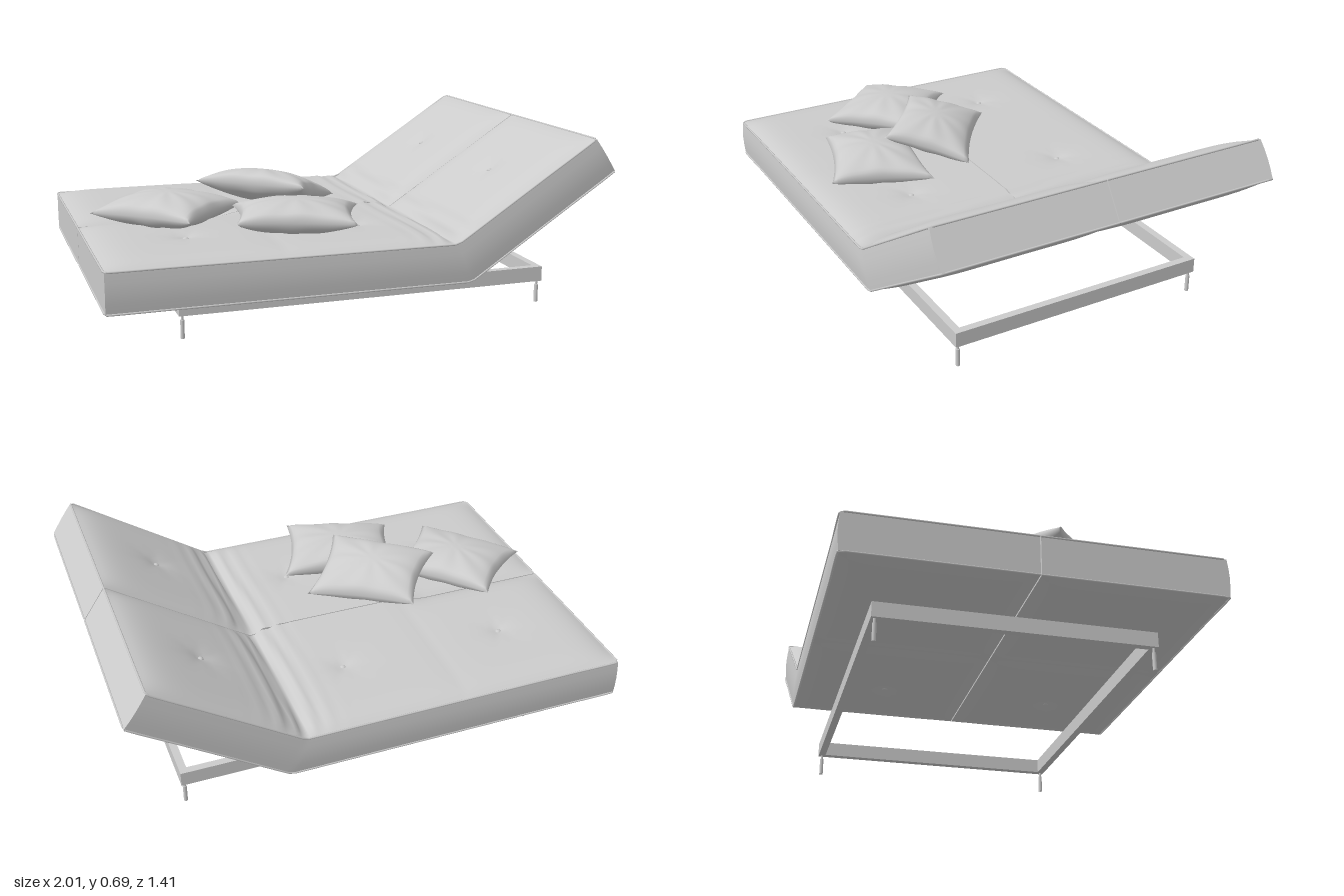
import * as THREE from 'three';
import { mergeGeometries, mergeVertices } from 'three/addons/utils/BufferGeometryUtils.js';

const { lerp, smoothstep, clamp } = THREE.MathUtils;
const material = new THREE.MeshStandardMaterial({ color: 0xcccccc, roughness: 0.85 });

const BEND = 0.7;                       // share of the length taken by the flat seat
const BUTTONS = [0.19, 0.553, 0.858];   // button positions along the length
const TOP = [[-1, 0.325], [0.335, 0.318], [0.91, 0.69]];
const BOTTOM = [[-1, 0.172], [0.395, 0.166], [0.998, 0.56]];

function mesh(name, geometry, parent, x = 0, y = 0, z = 0) {
  const m = new THREE.Mesh(geometry, material);
  m.name = name;
  m.position.set(x, y, z);
  parent.add(m);
  return m;
}

// Point on a three-point polyline, bent at BEND
function along(line, u) {
  const i = u < BEND ? 0 : 1;
  const t = i ? (u - BEND) / (1 - BEND) : u / BEND;
  return [lerp(line[i][0], line[i + 1][0], t), lerp(line[i][1], line[i + 1][1], t)];
}

// Padding height at (u, v); v runs from the middle seam (0) to the outer edge (1)
function padding(u, v, isTop, side) {
  const panel = Math.min(2, Math.floor(u / 0.35));
  const t = panel === 2 ? (u - BEND) / (1 - BEND) : (u - panel * 0.35) / 0.35;
  let across = 1 - Math.abs(2 * v - 1) ** 8;
  let lengthwise = 1 - Math.abs(2 * t - 1) ** 6;
  if (isTop) {
    // the upper cover runs unbroken over the middle of the seat
    const joined = smoothstep(u, 0.28, 0.36) * (1 - smoothstep(u, 0.66, 0.71));
    if (v < 0.5) across = lerp(across, 1, joined);
    if (u > 0.175 && u < 0.525) lengthwise = lerp(lengthwise, 1, 0.85);
  }
  let h = (isTop ? 0.026 : 0.016) * across * lengthwise;
  // button dimples with faint radial creases
  for (const b of BUTTONS) {
    const du = (u - b) * 1.95, dv = (v - 0.5) * 0.7, r = Math.hypot(du, dv);
    const crease = 1 + 0.15 * Math.cos(7 * Math.atan2(dv, du) + side) * Math.min(1, r * 20);
    h -= 0.018 * Math.exp(-r / 0.045) * crease;
  }
  // folds gathered at the bend
  if (isTop) {
    const d = u - BEND;
    h += 0.009 * across * Math.exp(-((d / 0.055) ** 2)) * Math.sin(d * 170 + Math.sin(v * 5 + side) * 0.9);
  }
  return h;
}

// Mattress surface: u length, w from -0.5 (bottom) to 0.5 (top), v width, side +1 or -1
function mattressPoint(u, w, v, side) {
  const a = along(BOTTOM, u), b = along(TOP, u);
  const k = smoothstep(u, BEND - 0.02, BEND + 0.02);
  const h = padding(u, v, w > 0, side) * 2 * w;
  const wall = 0.006 * Math.cos(w * Math.PI) * clamp((v - 0.8) * 5, 0, 1);
  return new THREE.Vector3(
    lerp(a[0], b[0], w + 0.5) - 0.54 * k * h,
    lerp(a[1], b[1], w + 0.5) + lerp(1, 0.84, k) * h,
    side * (0.002 + v * 0.698 + wall));
}

function mattressHalf(side) {
  const half = new THREE.Group();
  half.name = side > 0 ? 'frontMattress' : 'backMattress';
  const g = new THREE.BoxGeometry(1, 1, 1, 100, 4, 40);
  const p = g.attributes.position;
  for (let i = 0; i < p.count; i++) {
    const q = mattressPoint(p.getX(i) + 0.5, p.getY(i), p.getZ(i) * side + 0.5, side);
    p.setXYZ(i, q.x, q.y, q.z);
  }
  g.computeVertexNormals();
  mesh('mattressCover', g, half);

  for (const w of [-0.5, 0.5]) {
    // buttons
    for (const u of BUTTONS) {
      const q = mattressPoint(u, w, 0.5, side);
      mesh('button', new THREE.SphereGeometry(0.013, 14, 10), half, q.x, q.y, q.z).scale.y = 0.7;
    }
    // piping around the ends and the outer edge
    const pts = [mattressPoint(0, w, 0, side)];
    for (let i = 0; i <= 10; i++) pts.push(mattressPoint(i / 10, w, 1, side));
    pts.push(mattressPoint(1, w, 0, side));
    const curve = new THREE.CatmullRomCurve3(pts, false, 'catmullrom', 0.02);
    mesh('piping', new THREE.TubeGeometry(curve, 120, 0.004, 6), half);
  }
  return half;
}

// Pillow stretched between four corners, listed clockwise from above
function pillow(name, corners, thickness, parent) {
  const N = 32;
  const sheets = [1, -1].map((s) => {
    const g = new THREE.PlaneGeometry(2, 2, N, N).rotateX(-s * Math.PI / 2);
    const p = g.attributes.position;
    for (let i = 0; i < p.count; i++) {
      const x = p.getX(i), z = p.getZ(i);
      const ex = Math.max(0, 1 - x * x), ez = Math.max(0, 1 - z * z);
      // sides pull inward between the corners
      const u = (x * (1 - 0.11 * ez) + 1) / 2, v = (z * (1 - 0.11 * ex) + 1) / 2;
      const weights = [(1 - u) * (1 - v), u * (1 - v), u * v, (1 - u) * v];
      const q = [0, 1, 2].map((k) => weights.reduce((sum, f, c) => sum + f * corners[c][k], 0));
      const folds = 1 + 0.05 * Math.sin(9 * Math.atan2(z, x) + s) * Math.hypot(x, z);
      p.setXYZ(i, q[0], q[1] + s * thickness * Math.sqrt(ex * ez) ** 0.9 * folds, q[2]);
    }
    g.deleteAttribute('uv');
    g.deleteAttribute('normal');
    return g;
  });
  const g = mergeVertices(mergeGeometries(sheets), 1e-4);
  g.computeVertexNormals();
  mesh(name, g, parent);
}

export function createModel() {
  const model = new THREE.Group();
  model.name = 'daybed';

  model.add(mattressHalf(1), mattressHalf(-1));

  // Base frame and legs
  const base = new THREE.Group();
  base.name = 'base';
  model.add(base);
  const x0 = -0.71, x1 = 0.785, zEdge = 0.54, bar = 0.03, mid = (x0 + x1) / 2;
  for (const s of [1, -1]) {
    mesh('longRail', new THREE.BoxGeometry(x1 - x0, 0.06, bar), base, mid, 0.12, s * (zEdge - bar / 2));
    const x = s > 0 ? x1 - bar / 2 : x0 + bar / 2;
    mesh('crossRail', new THREE.BoxGeometry(bar, 0.06, 2 * (zEdge - bar)), base, x, 0.12, 0);
    for (const z of [0.525, -0.525]) {
      mesh('leg', new THREE.CylinderGeometry(0.008, 0.008, 0.072, 16), base, x, 0.036, z);
      mesh('legNeck', new THREE.CylinderGeometry(0.005, 0.005, 0.02, 12), base, x, 0.081, z);
    }
  }

  // Loose pillows
  const pillows = new THREE.Group();
  pillows.name = 'pillows';
  model.add(pillows);
  pillow('sidePillow', [[-0.96, 0.4, 0.09], [-0.67, 0.41, -0.18], [-0.36, 0.41, 0.14], [-0.64, 0.41, 0.43]], 0.068, pillows);
  pillow('frontPillow', [[-0.41, 0.41, 0.16], [0.09, 0.4, 0.26], [-0.05, 0.41, 0.65], [-0.48, 0.41, 0.5]], 0.066, pillows);
  pillow('topPillow', [[-0.53, 0.5, 0.07], [-0.32, 0.44, -0.19], [0.05, 0.41, 0.08], [-0.17, 0.5, 0.36]], 0.068, pillows);

  return model;
}
